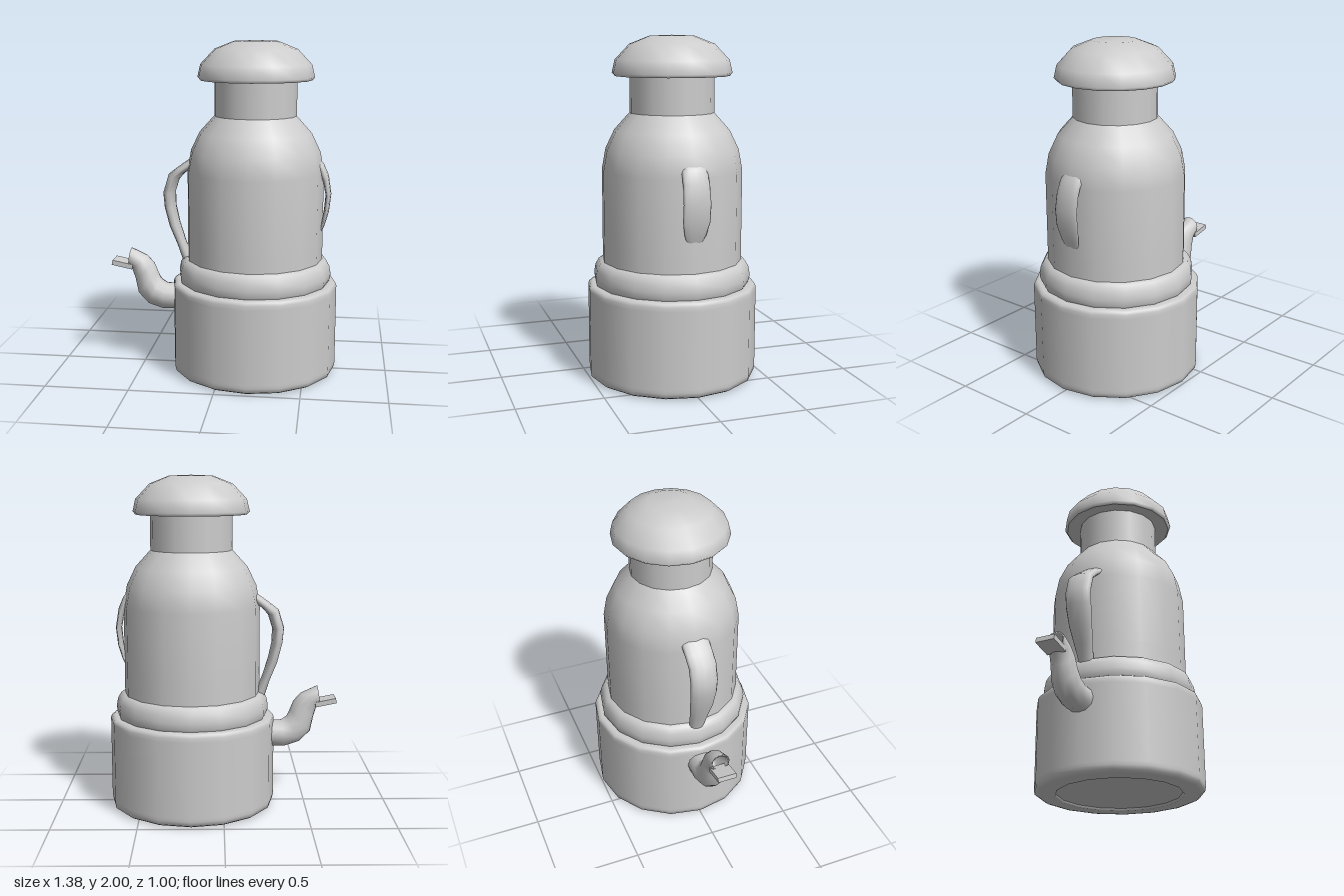
import * as THREE from 'three';

const AXIS_X = 0.19;
const SIDES = 16;

// Tube swept through outline pairs: [outerX, outerY, innerX, innerY, halfWidthZ]
function sweep(stations, sides = 12) {
  const positions = [];
  const index = [];
  for (const [ax, ay, bx, by, w] of stations) {
    for (let j = 0; j < sides; j++) {
      const a = (j / sides) * Math.PI * 2;
      const c = Math.cos(a) / 2;
      positions.push((ax + bx) / 2 + (ax - bx) * c, (ay + by) / 2 + (ay - by) * c, w * Math.sin(a));
    }
  }
  for (let i = 0; i < stations.length - 1; i++) {
    for (let j = 0; j < sides; j++) {
      const k = (j + 1) % sides;
      const p = i * sides + j, q = i * sides + k;
      index.push(p, q, q + sides, p, q + sides, p + sides);
    }
  }
  const g = new THREE.BufferGeometry();
  g.setAttribute('position', new THREE.Float32BufferAttribute(positions, 3));
  g.setIndex(index);
  g.computeVertexNormals();
  return g;
}

export function createModel() {
  const group = new THREE.Group();
  const metal = new THREE.MeshStandardMaterial({ color: 0xcccccc });
  metal.name = 'light grey metal';

  const add = (name, geometry) => {
    const mesh = new THREE.Mesh(geometry, metal);
    mesh.name = name;
    group.add(mesh);
    return mesh;
  };
  // Turned part around the pot's axis, profile listed bottom to top
  const turned = (name, profile) => {
    const points = profile.map(([r, y]) => new THREE.Vector2(r, y));
    add(name, new THREE.LatheGeometry(points, SIDES)).position.x = AXIS_X;
  };

  // Underside, slightly recessed
  turned('bottomPlate', [[0, 0.015], [0.37, 0.015]]);
  turned('bottomRim', [[0.37, 0.015], [0.375, 0], [0.46, 0]]);

  // Wide heating base with softened edges
  turned('base', [[0.45, 0], [0.475, 0.003], [0.495, 0.015], [0.5, 0.04], [0.5, 0.06],
    [0.5, 0.51], [0.5, 0.535], [0.493, 0.552], [0.475, 0.56], [0.44, 0.56]]);

  // Rounded collar between base and body
  turned('collar', [[0.45, 0.555], [0.46, 0.575], [0.463, 0.61], [0.455, 0.655], [0.435, 0.69], [0.405, 0.7]]);

  // Body and shoulder
  turned('body', [[0.41, 0.69], [0.41, 0.8], [0.41, 1.23], [0.388, 1.35], [0.335, 1.46], [0.245, 1.56]]);
  turned('neck', [[0.245, 1.555], [0.245, 1.78]]);

  // Domed lid
  turned('lidUnderside', [[0.2, 1.785], [0.3, 1.772], [0.332, 1.77]]);
  turned('lid', [[0.332, 1.77], [0.347, 1.787], [0.33, 1.86], [0.245, 1.95], [0.13, 1.995], [0, 2.0]]);

  // Large handle above the spout
  add('largeHandle', sweep([
    [-0.25, 0.66, -0.19, 0.68, 0.045],
    [-0.285, 0.77, -0.235, 0.79, 0.06],
    [-0.33, 0.88, -0.27, 0.9, 0.075],
    [-0.36, 1.0, -0.292, 1.0, 0.083],
    [-0.368, 1.09, -0.295, 1.09, 0.085],
    [-0.335, 1.2, -0.27, 1.17, 0.085],
    [-0.27, 1.25, -0.235, 1.21, 0.085],
    [-0.2, 1.3, -0.19, 1.24, 0.085],
  ]));

  // Small handle on the opposite side
  add('smallHandle', sweep([
    [0.57, 1.31, 0.55, 1.24, 0.075],
    [0.6, 1.28, 0.575, 1.22, 0.076],
    [0.63, 1.21, 0.597, 1.17, 0.078],
    [0.647, 1.1, 0.613, 1.09, 0.08],
    [0.635, 0.99, 0.605, 1.0, 0.08],
    [0.612, 0.91, 0.59, 0.92, 0.063],
    [0.59, 0.855, 0.57, 0.87, 0.04],
  ]));

  // Curved spout with a hollow mouth
  add('spout', sweep([
    [-0.25, 0.35, -0.25, 0.51, 0.083],
    [-0.38, 0.35, -0.355, 0.515, 0.083],
    [-0.47, 0.378, -0.39, 0.54, 0.08],
    [-0.535, 0.445, -0.408, 0.58, 0.075],
    [-0.555, 0.54, -0.43, 0.635, 0.068],
    [-0.572, 0.595, -0.475, 0.685, 0.062],
    [-0.59, 0.62, -0.575, 0.73, 0.06],
    [-0.59, 0.63, -0.577, 0.718, 0.05],
    [-0.54, 0.605, -0.485, 0.67, 0.045],
    [-0.515, 0.56, -0.455, 0.61, 0.02],
    [-0.49, 0.57, -0.489, 0.571, 0.001],
  ]));

  // Flat pouring lip
  const lip = add('spoutLip', new THREE.BoxGeometry(0.13, 0.03, 0.115));
  lip.position.set(-0.624, 0.633, 0);
  lip.rotation.z = -0.2;

  return group;
}
